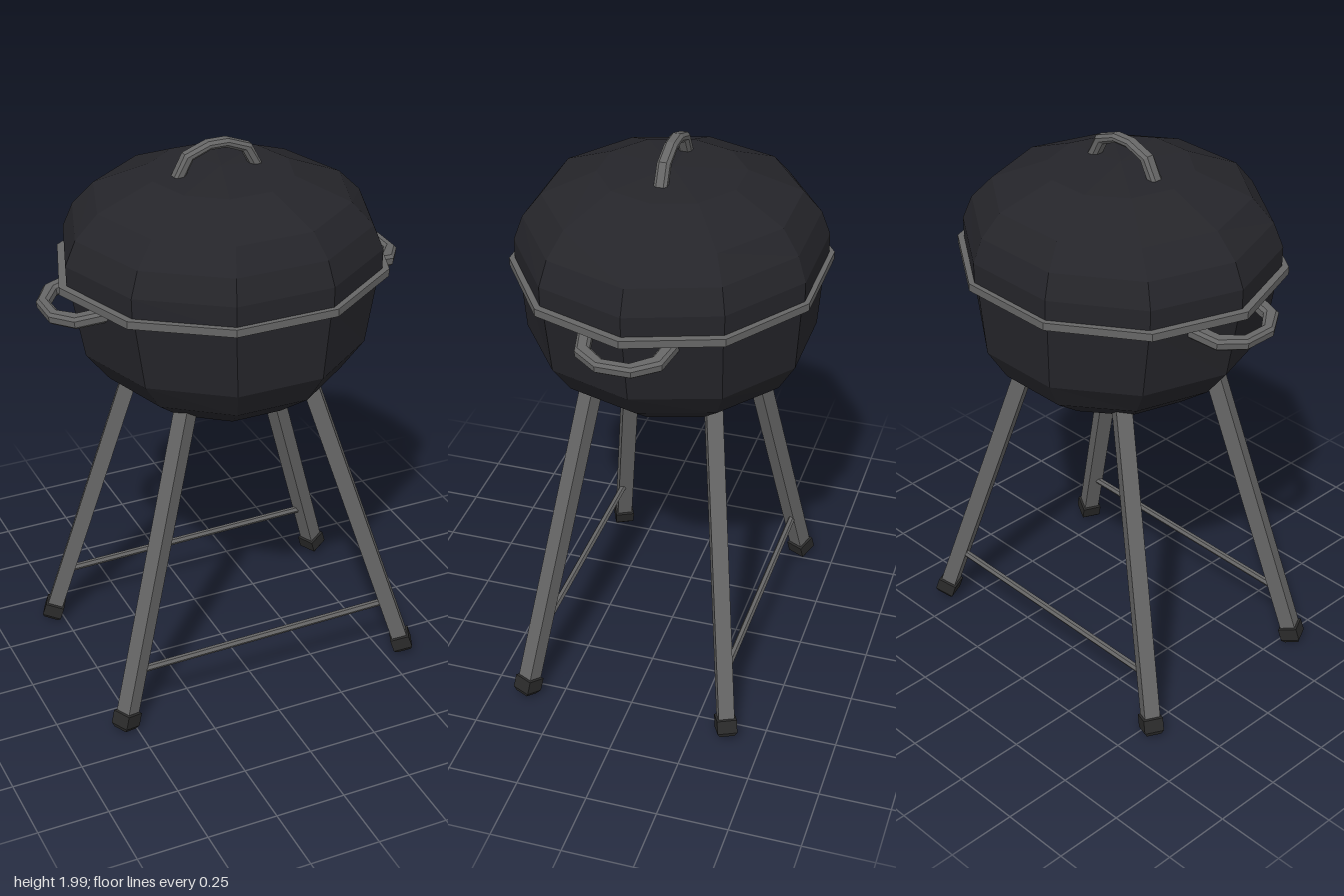
import * as THREE from 'three';

const mat = (color) => new THREE.MeshStandardMaterial({ color, flatShading: true, side: THREE.DoubleSide });

// Ten-sided shell through rows of [y, radius in x, radius in z], bottom to top
function shell(rows, sides = 10) {
  const at = ([y, rx, rz], j) => {
    const a = (j % sides) / sides * Math.PI * 2;
    return [rx * Math.cos(a), y, rz * Math.sin(a)];
  };
  const pos = [];
  for (let i = 0; i < rows.length - 1; i++) {
    for (let j = 0; j < sides; j++) {
      const a = at(rows[i], j), b = at(rows[i + 1], j);
      const c = at(rows[i + 1], j + 1), d = at(rows[i], j + 1);
      if (rows[i + 1][1] > 0) pos.push(...a, ...b, ...c);
      if (rows[i][1] > 0) pos.push(...a, ...(rows[i + 1][1] > 0 ? c : b), ...d);
    }
  }
  const g = new THREE.BufferGeometry();
  g.setAttribute('position', new THREE.Float32BufferAttribute(pos, 3));
  g.computeVertexNormals();
  return g;
}

// Symmetrical arch with chamfered edges, from half outlines running foot to crown
function arch(outer, inner, depth) {
  const half = [...outer, ...[...outer].reverse().map(([x, y]) => [-x, y])];
  const hole = [...inner.map(([x, y]) => [-x, y]), ...[...inner].reverse()];
  const shape = new THREE.Shape([...half, ...hole].map(([x, y]) => new THREE.Vector2(x, y)));
  const b = 0.01;
  const g = new THREE.ExtrudeGeometry(shape, {
    depth: depth - 2 * b, bevelEnabled: true, bevelThickness: b,
    bevelSize: b, bevelOffset: -b, bevelSegments: 1,
  });
  return g.translate(0, 0, -depth / 2 + b);
}

export function createModel() {
  const model = new THREE.Group();
  const black = mat(0x25252a), grey = mat(0x666666), rubber = mat(0x2a2a2a);
  const add = (parent, name, geometry, material) => {
    const m = new THREE.Mesh(geometry, material);
    m.name = name;
    parent.add(m);
    return m;
  };

  // Bowl, rim and lid
  add(model, 'bowl', shell([
    [1.03, 0, 0], [1.042, 0.165, 0.175], [1.105, 0.29, 0.305], [1.2, 0.415, 0.433],
    [1.305, 0.497, 0.496], [1.56, 0.545, 0.515],
  ]), black);
  add(model, 'rim', shell([
    [1.548, 0.5, 0.47], [1.548, 0.582, 0.543], [1.575, 0.582, 0.543], [1.575, 0.5, 0.47],
  ]), grey);
  add(model, 'lid', shell([
    [1.56, 0.555, 0.525], [1.645, 0.557, 0.525], [1.73, 0.52, 0.495],
    [1.81, 0.44, 0.433], [1.89, 0.245, 0.249], [1.905, 0, 0],
  ]), black);

  // Lid handle
  const top = add(model, 'lidHandle', arch(
    [[0.166, 1.88], [0.12, 1.968], [0.035, 2.0]],
    [[0.125, 1.88], [0.09, 1.945], [0.028, 1.97]], 0.045), grey);
  top.position.x = -0.015;

  // Side handles, lying flat and drooping slightly outwards
  for (const s of [1, -1]) {
    const pivot = new THREE.Group();
    pivot.name = s > 0 ? 'leftHandle' : 'rightHandle';
    pivot.position.set(s * 0.5, 1.517, 0);
    pivot.rotation.z = -s * 0.14;
    const g = arch(
      [[0.168, -0.02], [0.145, 0.085], [0.06, 0.143]],
      [[0.118, -0.02], [0.103, 0.055], [0.043, 0.102]], 0.042);
    g.rotateX(Math.PI / 2).rotateY(s * Math.PI / 2);
    add(pivot, 'handleLoop', g, grey);
    model.add(pivot);
  }

  // Splayed square legs with chamfered feet
  const up = new THREE.Vector3(0, 1, 0);
  for (const sz of [1, -1]) {
    for (const sx of [1, -1]) {
      const foot = sx > 0 ? new THREE.Vector3(0.575, 0.025, sz * 0.373)
        : new THREE.Vector3(-0.54, 0.014, sz * 0.373);
      const head = new THREE.Vector3(sx > 0 ? 0.232 : -0.225, 1.16, sz * 0.215);
      const dir = head.clone().sub(foot);
      const length = dir.length();
      dir.normalize();
      const side = new THREE.Vector3().crossVectors(up, dir).normalize();
      const leg = new THREE.Group();
      leg.name = (sz > 0 ? 'front' : 'back') + (sx > 0 ? 'Left' : 'Right') + 'Leg';
      leg.position.copy(foot);
      leg.quaternion.setFromRotationMatrix(
        new THREE.Matrix4().makeBasis(side, dir, new THREE.Vector3().crossVectors(side, dir)));
      add(leg, 'legPost', new THREE.BoxGeometry(0.056, length - 0.02, 0.056)
        .translate(0, length / 2 + 0.01, 0), grey);
      const k = Math.SQRT1_2 * 2;
      const profile = [[0, 0], [0.026, 0], [0.035, 0.014], [0.035, 0.062], [0.027, 0.066]]
        .map(([r, y]) => new THREE.Vector2(r * k, y));
      add(leg, 'footCap', new THREE.LatheGeometry(profile, 4).rotateY(Math.PI / 4), rubber);
      model.add(leg);
    }

    // Brace rod between the legs on this side
    const rod = add(model, sz > 0 ? 'frontBrace' : 'backBrace',
      new THREE.CylinderGeometry(0.013, 0.013, 0.98, 6), grey);
    rod.rotation.z = Math.PI / 2 + 0.012;
    rod.position.set(0.017, 0.23, sz * 0.345);
  }
  return model;
}
